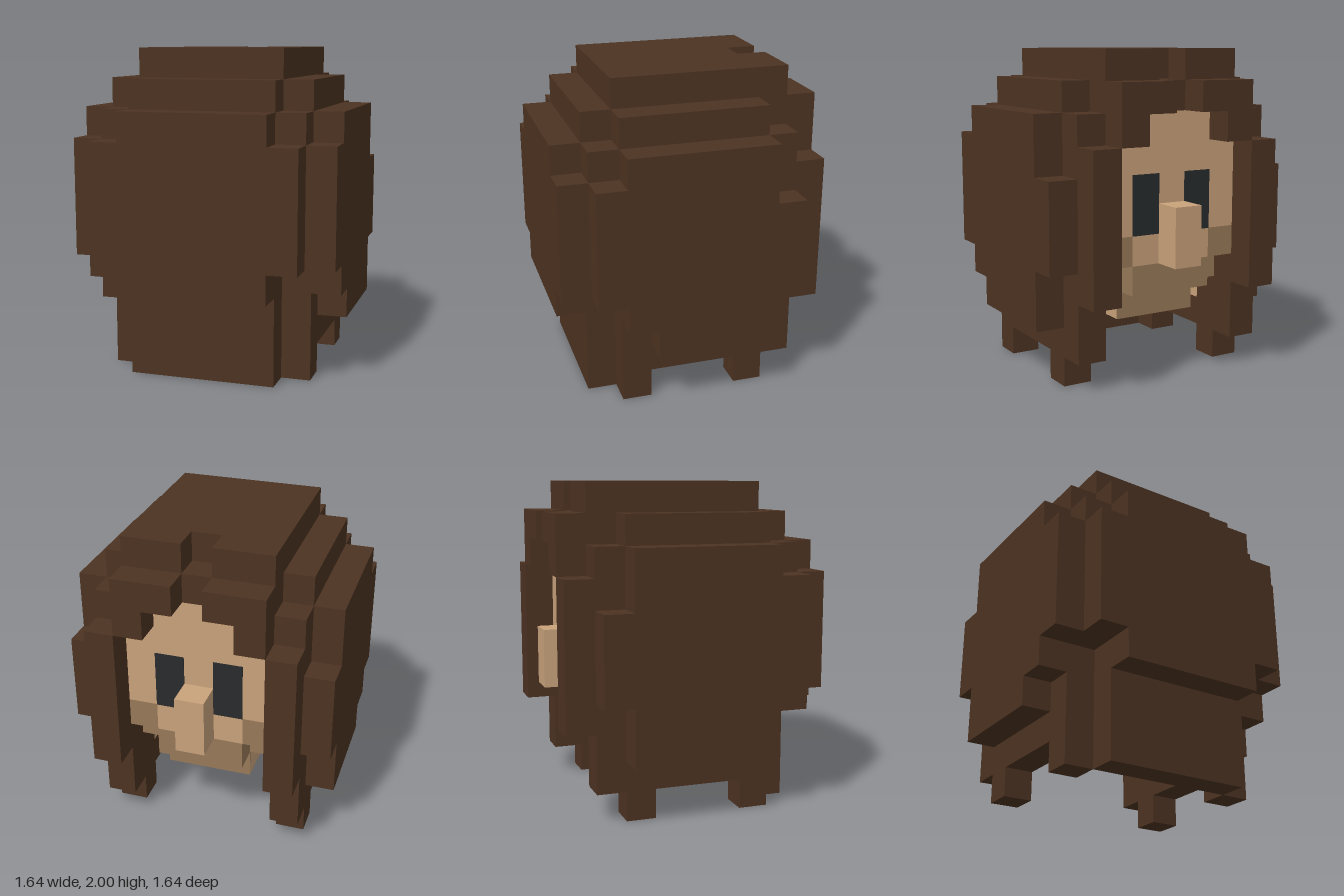
import * as THREE from 'three';

const U = 2 / 11; // one block of the grid

function material(name, color) {
  const m = new THREE.MeshStandardMaterial({ color });
  m.name = name;
  return m;
}

export function createModel() {
  const model = new THREE.Group();
  model.name = 'blockHead';
  const hair = material('dark brown hair', 0x4d3322);
  const skin = material('tan skin', 0xc9a27b);
  const beard = material('shaded tan', 0x987a59);
  const eye = material('near black', 0x282b2d);

  function group(name) {
    const g = new THREE.Group();
    g.name = name;
    model.add(g);
    return g;
  }

  // Box from first to last grid block on each axis; blocks are centred on x and z
  function block(parent, name, mat, [x0, x1], [y0, y1], [z0, z1]) {
    const geo = new THREE.BoxGeometry((x1 - x0 + 1) * U, (y1 - y0 + 1) * U, (z1 - z0 + 1) * U);
    const mesh = new THREE.Mesh(geo, mat);
    mesh.name = name;
    mesh.position.set((x0 + x1) / 2 * U, (y0 + y1 + 1) / 2 * U, (z0 + z1) / 2 * U);
    parent.add(mesh);
  }
  function pair(parent, name, mat, [x0, x1], y, z) {
    block(parent, name + 'Left', mat, [x0, x1], y, z);
    block(parent, name + 'Right', mat, [-x1, -x0], y, z);
  }

  // Thin painted plate lying on a face that looks towards -z
  function plate(parent, name, mat, x, y, w, h, zFace) {
    const mesh = new THREE.Mesh(new THREE.BoxGeometry(w * U, h * U, 0.005), mat);
    mesh.name = name;
    mesh.position.set(x * U, y * U, zFace * U - 0.0025);
    parent.add(mesh);
  }

  // Hair cap with a parting notch above the face
  const cap = group('hairCap');
  block(cap, 'crown', hair, [-2, 2], [10, 10], [-2, 2]);
  block(cap, 'crownBase', hair, [-2, 2], [9, 9], [-3, 2]);
  pair(cap, 'crownFringe', hair, [1, 2], [10, 10], [-3, -3]);
  pair(cap, 'fringe', hair, [1, 2], [9, 9], [-4, -4]);
  pair(cap, 'fringeTip', hair, [2, 2], [8, 8], [-4, -4]);

  // Long hair on the side opposite the face
  const long = group('longHair');
  block(long, 'longHairOuter', hair, [-2, 2], [3, 8], [4, 4]);
  block(long, 'longHairInner', hair, [-2, 2], [0, 9], [3, 3]);

  // Side hair: rows of [y range, z range] for the inner and outer layers
  const sides = group('sideHair');
  const inner = [
    [[4, 7], [4, 4]], [[4, 8], [3, 3]], [[0, 9], [2, 2]], [[3, 9], [-1, 1]],
    [[1, 1], [-1, 1]], [[0, 9], [-2, -2]], [[1, 8], [-3, -3]], [[3, 7], [-4, -4]],
  ];
  const outer = [
    [[4, 7], [3, 3]], [[3, 8], [2, 2]], [[2, 8], [-2, 1]], [[4, 6], [-3, -3]],
  ];
  for (const [y, z] of inner) pair(sides, 'innerLock', hair, [3, 3], y, z);
  for (const [y, z] of outer) pair(sides, 'outerLock', hair, [4, 4], y, z);

  // Head, face and neck
  const head = group('head');
  block(head, 'skull', skin, [-2, 2], [3, 8], [-2, 2]);
  block(head, 'face', skin, [-2, 2], [5, 8], [-3, -3]);
  block(head, 'upperLip', skin, [-1, 1], [4, 4], [-3, -3]);
  block(head, 'nose', skin, [0, 0], [4, 5], [-4, -4]);
  block(head, 'neck', skin, [-1, 1], [2, 2], [-2, 2]);
  pair(head, 'jawSide', skin, [3, 3], [2, 2], [-1, 1]);

  // Shaded cheeks, chin and throat
  pair(head, 'cheek', beard, [2, 2], [4, 4], [-3, -3]);
  block(head, 'chin', beard, [-1, 1], [3, 3], [-3, -3]);
  plate(head, 'jawShade', beard, 0, 3.5, 5, 1, -2.5);
  plate(head, 'throatShade', beard, 0, 2.5, 3, 1, -2.5);

  // Eyes
  for (const s of [1, -1]) plate(head, s > 0 ? 'eyeLeft' : 'eyeRight', eye, s, 6, 1, 2, -3.5);

  return model;
}
